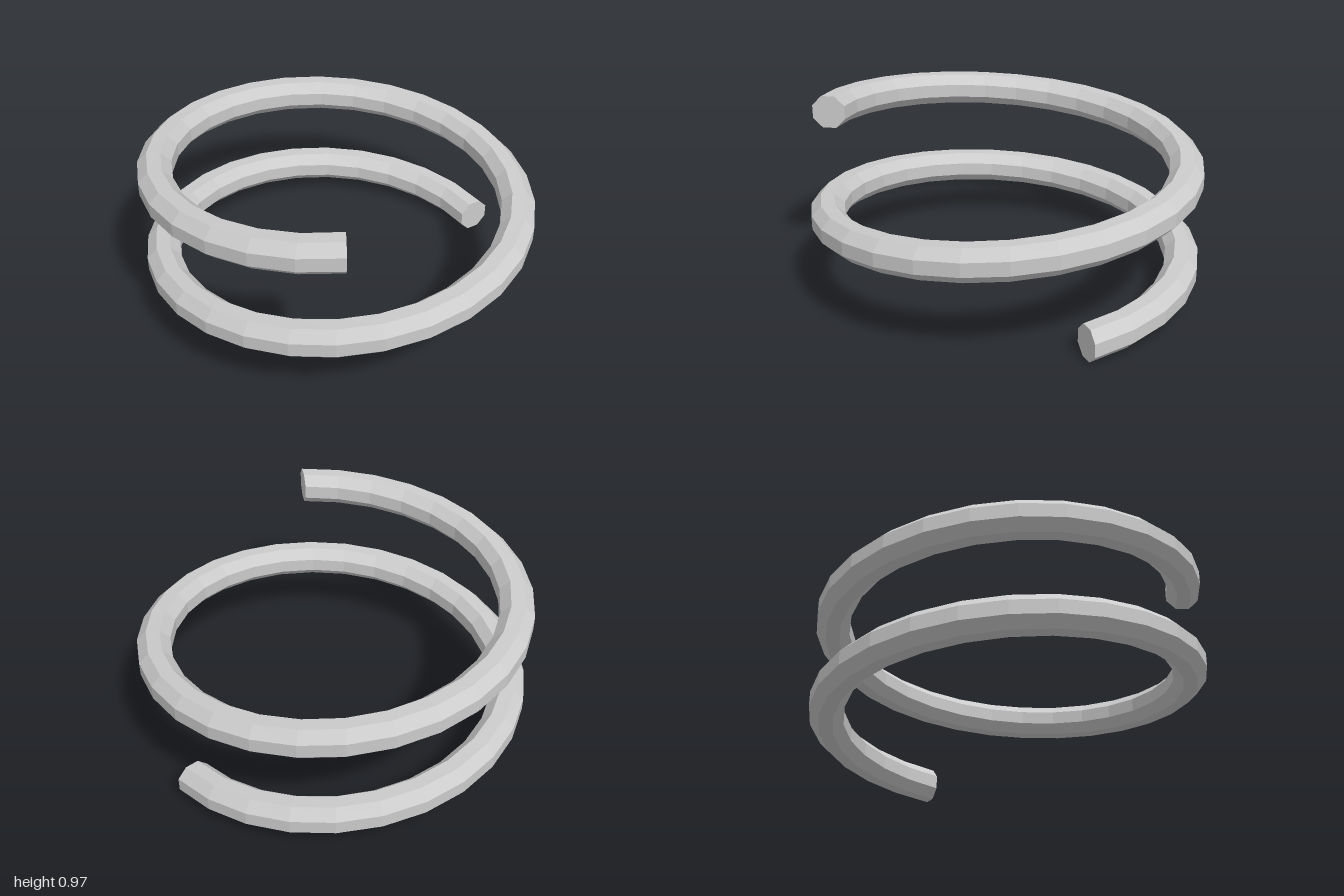
import * as THREE from 'three';

const SIDES = 8, STEPS = 48;
const SWEEP = THREE.MathUtils.degToRad(600); // one and two thirds turns
const WIRE = 0.091, RADIUS = 0.916, RISE = 0.805;

// Octagonal wire swept along a helix; every section stands upright in a radial plane
function coilGeometry() {
  const positions = [], index = [];
  const base = WIRE * Math.cos(Math.PI / SIDES);
  for (let i = 0; i <= STEPS; i++) {
    const t = (i / STEPS) * SWEEP;
    for (let j = 0; j < SIDES; j++) {
      const a = ((j + 0.5) / SIDES) * Math.PI * 2;
      const r = RADIUS + WIRE * Math.cos(a);
      const y = base + (RISE * i) / STEPS + WIRE * Math.sin(a);
      positions.push(r * Math.cos(t), y, -r * Math.sin(t));
    }
  }
  // Wall of the wire
  for (let i = 0; i < STEPS; i++) {
    for (let j = 0; j < SIDES; j++) {
      const k = (j + 1) % SIDES;
      const a = i * SIDES + j, b = i * SIDES + k;
      const c = a + SIDES, d = b + SIDES;
      index.push(a, c, b, b, c, d);
    }
  }
  // Flat cut ends
  const last = STEPS * SIDES;
  for (let j = 1; j < SIDES - 1; j++) {
    index.push(0, j, j + 1);
    index.push(last, last + j + 1, last + j);
  }
  const geometry = new THREE.BufferGeometry();
  geometry.setAttribute('position', new THREE.Float32BufferAttribute(positions, 3));
  geometry.setIndex(index);
  const faceted = geometry.toNonIndexed();
  faceted.computeVertexNormals();
  return faceted;
}

export function createModel() {
  const group = new THREE.Group();
  group.name = 'spring';
  const material = new THREE.MeshStandardMaterial({ color: 0xcccccc, flatShading: true });
  const coil = new THREE.Mesh(coilGeometry(), material);
  coil.name = 'coil';
  group.add(coil);
  return group;
}
